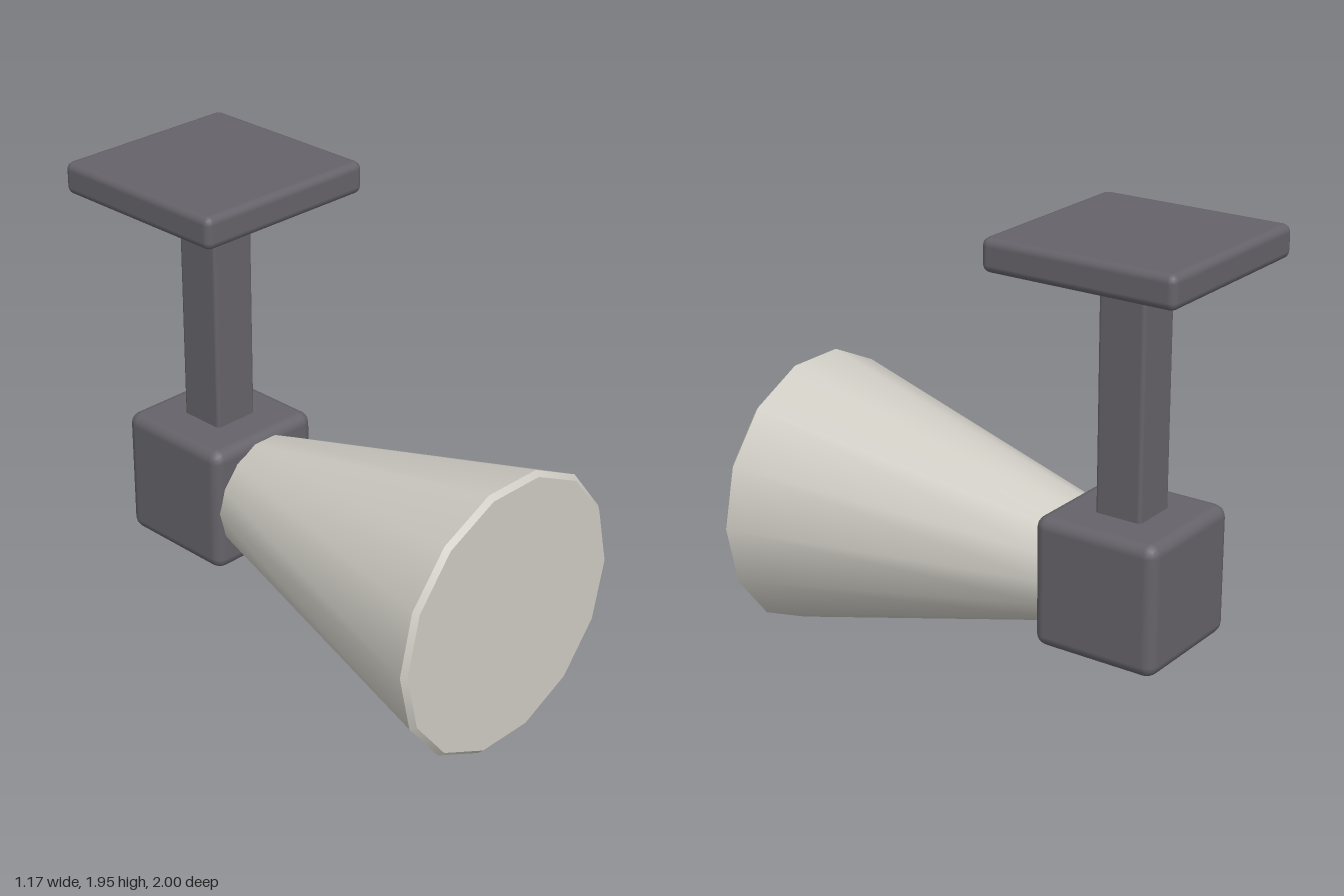
import * as THREE from 'three';
import { RoundedBoxGeometry } from 'three/addons/geometries/RoundedBoxGeometry.js';

const SIDES = 14;
const AXIS_Y = 0.572; // height of the horn axis
const MOUNT_Z = -0.585; // depth of the mount's vertical axis

export function createModel() {
  const model = new THREE.Group();
  const lightGrey = new THREE.MeshStandardMaterial({ color: 0xcfccc4 });
  lightGrey.name = 'light grey';
  const darkGrey = new THREE.MeshStandardMaterial({ color: 0x656369 });
  darkGrey.name = 'dark grey';

  const add = (name, geometry, material, parent = model) => {
    const mesh = new THREE.Mesh(geometry, material);
    mesh.name = name;
    parent.add(mesh);
    return mesh;
  };

  // Mount: ceiling plate, post and housing, all with rounded edges
  const roundedBox = (name, w, h, d, radius, y) => {
    const mesh = add(name, new RoundedBoxGeometry(w, h, d, 2, radius), darkGrey);
    mesh.position.set(0, y, MOUNT_Z);
  };
  roundedBox('mountPlate', 0.825, 0.133, 0.825, 0.032, 1.885);
  roundedBox('post', 0.204, 1.1, 0.204, 0.016, 1.33);
  roundedBox('housing', 0.545, 0.545, 0.545, 0.05, 0.575);

  // Horn: rings along z, open at the ends so that edges stay sharp
  const horn = new THREE.Group();
  horn.name = 'horn';
  horn.position.y = AXIS_Y;
  model.add(horn);
  const ring = (name, rFront, rBack, zFront, zBack) => {
    const geometry = new THREE.CylinderGeometry(
      rFront, rBack, zFront - zBack, SIDES, 1, true, Math.PI / 2);
    geometry.rotateX(Math.PI / 2);
    add(name, geometry, lightGrey, horn).position.z = (zFront + zBack) / 2;
  };
  ring('hornCone', 0.586, 0.243, 0.98, -0.36);
  ring('hornRim', 0.566, 0.586, 1, 0.98);

  // Flat front face and hidden rear cap
  add('hornFace', new THREE.CircleGeometry(0.566, SIDES), lightGrey, horn).position.z = 1;
  const back = add('hornBack', new THREE.CircleGeometry(0.243, SIDES), lightGrey, horn);
  back.rotation.y = Math.PI;
  back.position.z = -0.36;

  return model;
}
